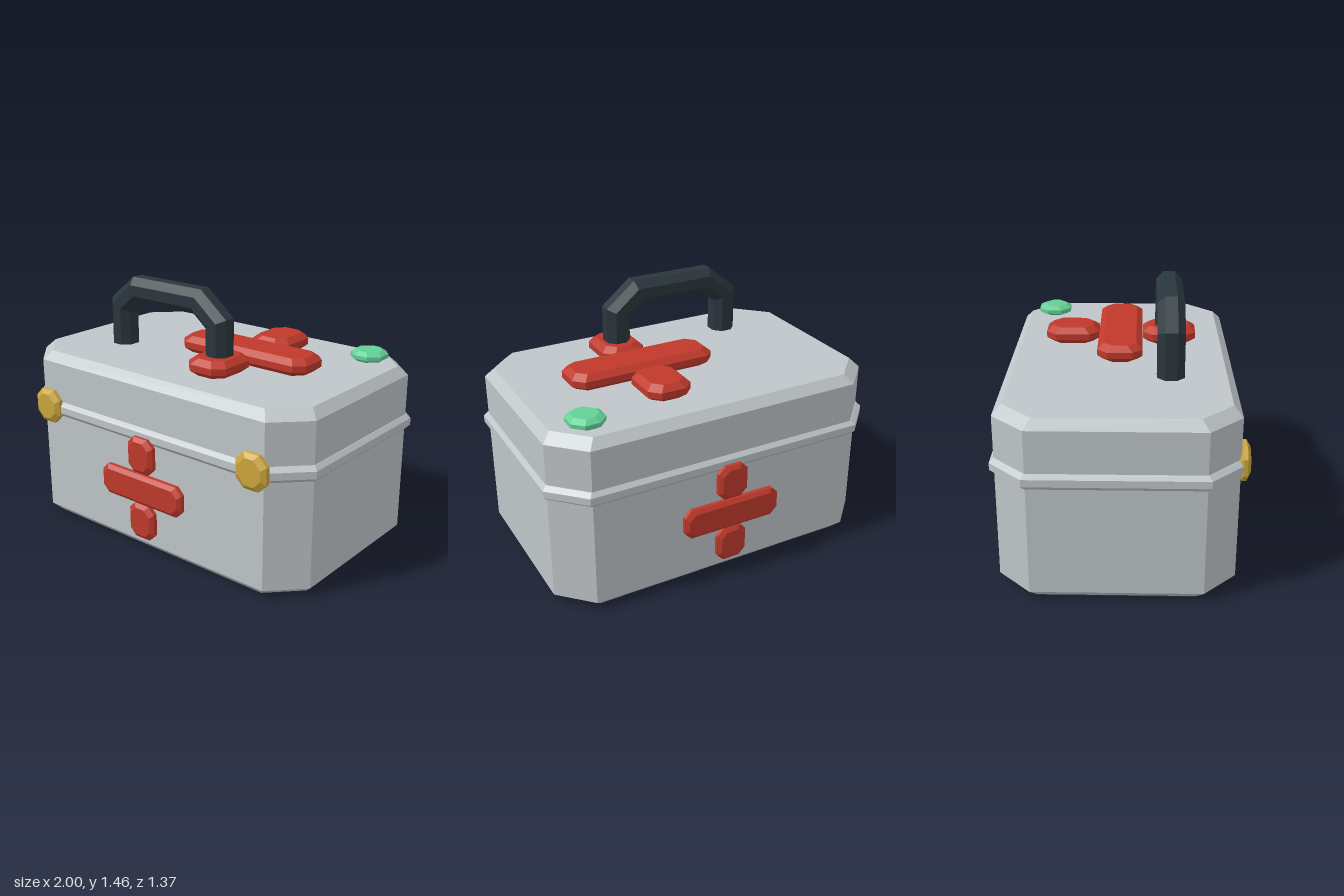
import * as THREE from 'three';

const mat = (name, color) => {
  const m = new THREE.MeshStandardMaterial({ color });
  m.name = name;
  return m;
};

// Corner-cut rectangle, counter-clockwise
const octagon = (hx, hy, c) => [
  [hx, -hy + c], [hx, hy - c], [hx - c, hy], [-hx + c, hy],
  [-hx, hy - c], [-hx, -hy + c], [-hx + c, -hy], [hx - c, -hy],
];

// Faceted, capped solid through a list of equal-sized convex rings
function loft(rings) {
  const pos = [];
  const tri = (a, b, c) => pos.push(...a, ...b, ...c);
  const n = rings[0].length;
  for (let r = 0; r < rings.length - 1; r++) {
    const lo = rings[r], hi = rings[r + 1];
    for (let i = 0; i < n; i++) {
      const j = (i + 1) % n;
      tri(lo[i], lo[j], hi[j]);
      tri(lo[i], hi[j], hi[i]);
    }
  }
  const first = rings[0], last = rings[rings.length - 1];
  for (let i = 1; i < n - 1; i++) {
    tri(first[0], first[i + 1], first[i]);
    tri(last[0], last[i], last[i + 1]);
  }
  const g = new THREE.BufferGeometry();
  g.setAttribute('position', new THREE.Float32BufferAttribute(pos, 3));
  g.computeVertexNormals();
  return g;
}

// Upright solid from [y, inset] levels of one corner-cut rectangle
const levels = (hx, hz, cut, list) => loft(list.map(([y, inset]) =>
  octagon(hx - inset, hz - inset, cut - inset * 0.2).map(([u, v]) => [u, y, -v])));

// Small bevelled pad, centred, with its thickness along y
const pad = (w, d, h, cut, inset, bevel) => levels(w / 2, d / 2, cut, [
  [-h / 2, inset], [-h / 2 + bevel, 0], [h / 2 - bevel, 0], [h / 2, inset],
]);

export function createModel() {
  const group = new THREE.Group();
  const grey = mat('shell grey', 0xbfc5c8);
  const red = mat('cross red', 0xc0392b);
  const gold = mat('latch gold', 0xcba53c);
  const green = mat('button green', 0x62d096);
  const dark = mat('handle dark', 0x2a363d);

  const add = (parent, name, geo, material, x = 0, y = 0, z = 0) => {
    const m = new THREE.Mesh(geo, material);
    m.name = name;
    m.position.set(x, y, z);
    parent.add(m);
    return m;
  };

  // Case
  add(group, 'basePlate', levels(0.93, 0.58, 0.168, [[0, 0], [0.005, 0]]), dark);
  add(group, 'body', levels(0.975, 0.628, 0.176, [[0.003, 0.047], [0.05, 0], [0.7, 0]]), grey);
  add(group, 'lid', levels(0.975, 0.628, 0.176, [[0.7, 0], [0.97, 0], [1.02, 0.047]]), grey);
  add(group, 'rim', levels(1, 0.65, 0.18, [[0.655, 0.021], [0.678, 0], [0.718, 0], [0.74, 0.021]]), grey);

  // Crosses on the front and back
  for (const [name, side] of [['frontCross', 1], ['backCross', -1]]) {
    const cross = new THREE.Group();
    cross.name = name;
    for (const [part, w, h, y] of [
      ['crossBar', 0.585, 0.175, 0.392],
      ['crossUpperArm', 0.18, 0.205, 0.592],
      ['crossLowerArm', 0.18, 0.205, 0.2],
    ]) {
      add(cross, part, pad(w, h, 0.058, 0.04, 0.022, 0.018), red, 0, y, side * 0.656).rotation.x = Math.PI / 2;
    }
    group.add(cross);
  }

  // Cross on the lid
  const lidCross = new THREE.Group();
  lidCross.name = 'lidCross';
  add(lidCross, 'crossBar', pad(0.855, 0.253, 0.096, 0.055, 0.035, 0.03), red, 0.228, 1.067, 0);
  for (const s of [-1, 1]) {
    add(lidCross, s > 0 ? 'crossFrontArm' : 'crossBackArm',
      pad(0.255, 0.305, 0.096, 0.055, 0.035, 0.03), red, 0.232, 1.067, s * 0.282);
  }
  group.add(lidCross);

  // Button and latches
  add(group, 'button', pad(0.195, 0.195, 0.062, 0.055, 0.027, 0.02), green, 0.737, 1.048, -0.432);
  for (const s of [-1, 1]) {
    add(group, s > 0 ? 'leftLatch' : 'rightLatch',
      pad(0.192, 0.195, 0.058, 0.05, 0.025, 0.018), gold, s * 0.741, 0.708, 0.647).rotation.x = Math.PI / 2;
  }

  // Handle: eight-sided section swept with mitred corners
  const path = [[-0.47, 1.06], [-0.47, 1.286], [-0.343, 1.39], [0.103, 1.39], [0.23, 1.286], [0.23, 1.06]]
    .map(([x, y]) => new THREE.Vector2(x, y));
  const section = octagon(0.07, 0.0725, 0.04);
  const handle = loft(path.map((p, i) => {
    const tIn = p.clone().sub(path[Math.max(i - 1, 0)]).normalize();
    const tOut = path[Math.min(i + 1, path.length - 1)].clone().sub(p).normalize();
    const t = tIn.clone().add(tOut).normalize();
    const stretch = 1 / t.dot(i ? tIn : tOut);
    return section.map(([a, b]) => [p.x + t.y * a * stretch, p.y - t.x * a * stretch, 0.273 - b]);
  }));
  add(group, 'handle', handle, dark);

  return group;
}
